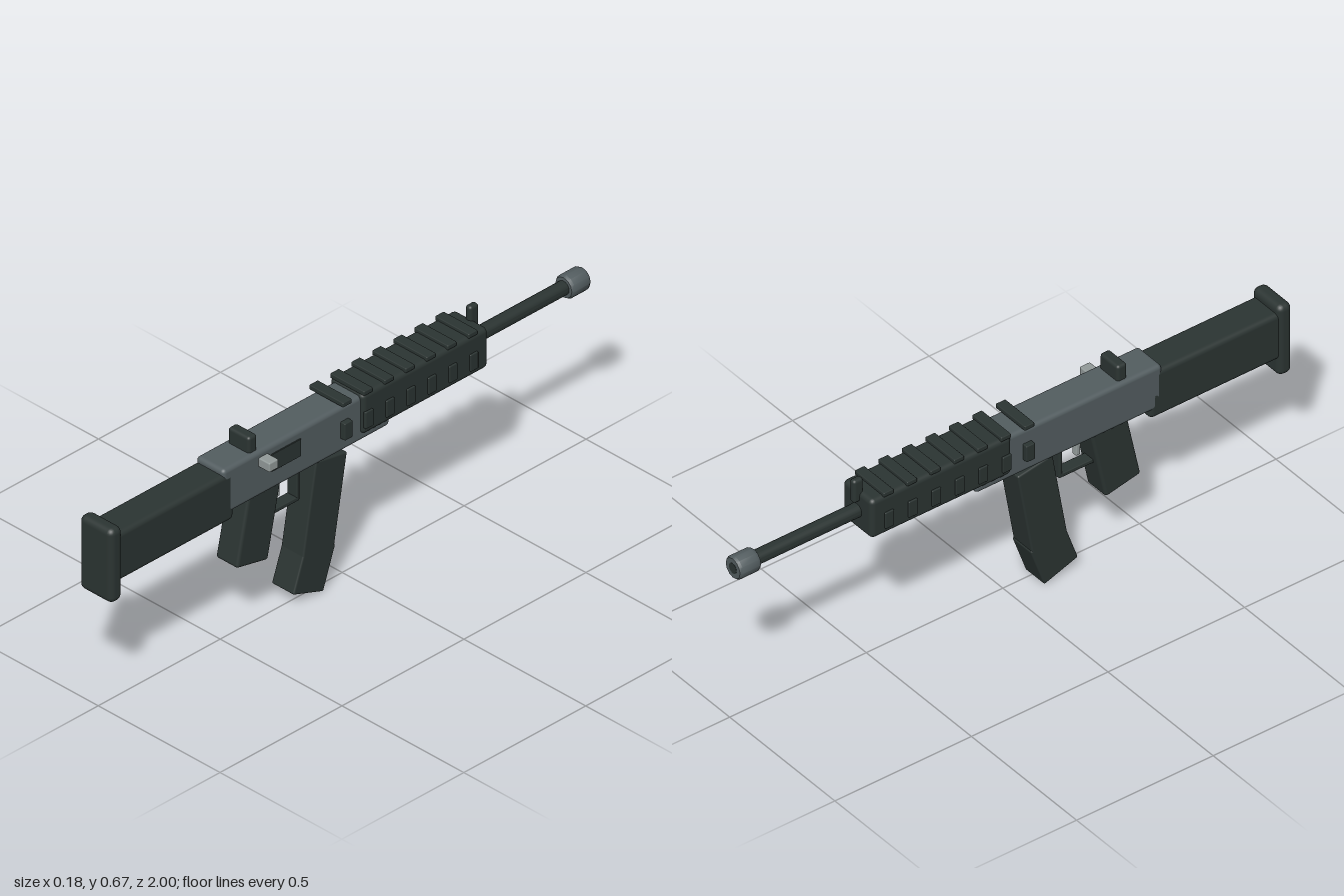
import * as THREE from 'three';
import { RoundedBoxGeometry } from 'three/addons/geometries/RoundedBoxGeometry.js';
import { toCreasedNormals } from 'three/addons/utils/BufferGeometryUtils.js';

const CX = -0.014; // centre plane of the body

function material(name, color) {
  const m = new THREE.MeshStandardMaterial({ color });
  m.name = name;
  return m;
}

export function createModel() {
  const group = new THREE.Group();
  const dark = material('dark polymer', 0x2b3432);
  const steel = material('grey steel', 0x535d60);
  const light = material('light metal', 0x929a99);

  function add(name, geometry, mat, x, y, z, tilt = 0) {
    const mesh = new THREE.Mesh(geometry, mat);
    mesh.name = name;
    mesh.position.set(x, y, z);
    mesh.rotation.x = tilt;
    group.add(mesh);
    return mesh;
  }
  // box with softened edges, given by its y and z ranges
  function block(name, mat, width, y0, y1, z0, z1, r, x = CX) {
    const geo = new RoundedBoxGeometry(width, y1 - y0, z1 - z0, 3, r);
    return add(name, geo, mat, x, (y0 + y1) / 2, (z0 + z1) / 2);
  }
  // turned part along z, from [radius, z] pairs running towards -z
  function turned(name, mat, profile, sides) {
    const geo = new THREE.LatheGeometry(profile.map(([r, z]) => new THREE.Vector2(r, -z)), sides);
    geo.rotateX(-Math.PI / 2);
    return add(name, toCreasedNormals(geo, 0.6), mat, CX, 0.56, 0);
  }

  // Stock
  block('buttPlate', dark, 0.134, 0.375, 0.63, 0.95, 1, 0.02);
  block('stock', dark, 0.116, 0.435, 0.602, 0.485, 0.97, 0.016);

  // Receiver and its fittings
  block('receiver', steel, 0.116, 0.465, 0.62, -0.154, 0.53, 0.014);
  block('ejectionPort', dark, 0.01, 0.53, 0.59, 0.215, 0.335, 0.002, 0.043);
  block('chargingHandle', light, 0.056, 0.569, 0.6, 0.348, 0.386, 0.004, 0.06);
  block('rearSight', dark, 0.087, 0.605, 0.673, 0.376, 0.412, 0.01);

  // Handguard with rail teeth and side ribs
  block('handguard', dark, 0.14, 0.49, 0.63, -0.545, -0.03, 0.016);
  for (let i = 0; i < 7; i++) {
    const z = 0.034 - i * 0.086;
    block('railTooth', dark, 0.14, 0.625, 0.641, z - 0.018, z + 0.018, 0.003);
    block('sideRib', dark, 0.152, 0.512, 0.57, z - 0.016, z + 0.016, 0.003);
  }
  block('frontSight', dark, 0.024, 0.595, 0.677, -0.565, -0.528, 0.01);

  // Barrel and muzzle
  turned('barrel', dark, [[0, -0.5], [0.023, -0.5], [0.023, -0.94], [0, -0.94]].map((p) => p), 16);
  turned('muzzle', steel, [[0, -0.922], [0.034, -0.922], [0.039, -0.932],
    [0.039, -0.99], [0.034, -0.999], [0, -0.999]], 12);
  turned('bore', dark, [[0, -0.995], [0.018, -0.995], [0.018, -1], [0, -1]], 12);

  // Grip
  add('grip', new RoundedBoxGeometry(0.09, 0.28, 0.132, 3, 0.01), dark, CX, 0.367, 0.368, -0.21);

  // Trigger and guard
  block('guardBar', dark, 0.04, 0.342, 0.356, 0.18, 0.33, 0.003);
  block('guardPost', dark, 0.04, 0.345, 0.47, 0.18, 0.192, 0.003);
  add('trigger', new RoundedBoxGeometry(0.02, 0.09, 0.016, 2, 0.004), light, CX, 0.43, 0.26, 0.06);

  // Magazine in two angled sections
  add('magazineUpper', new RoundedBoxGeometry(0.092, 0.32, 0.13, 3, 0.006), dark, CX, 0.297, 0.101, -0.172);
  add('magazineLower', new RoundedBoxGeometry(0.092, 0.15, 0.131, 3, 0.006), dark, CX, 0.096, 0.144, -0.34);

  return group;
}
